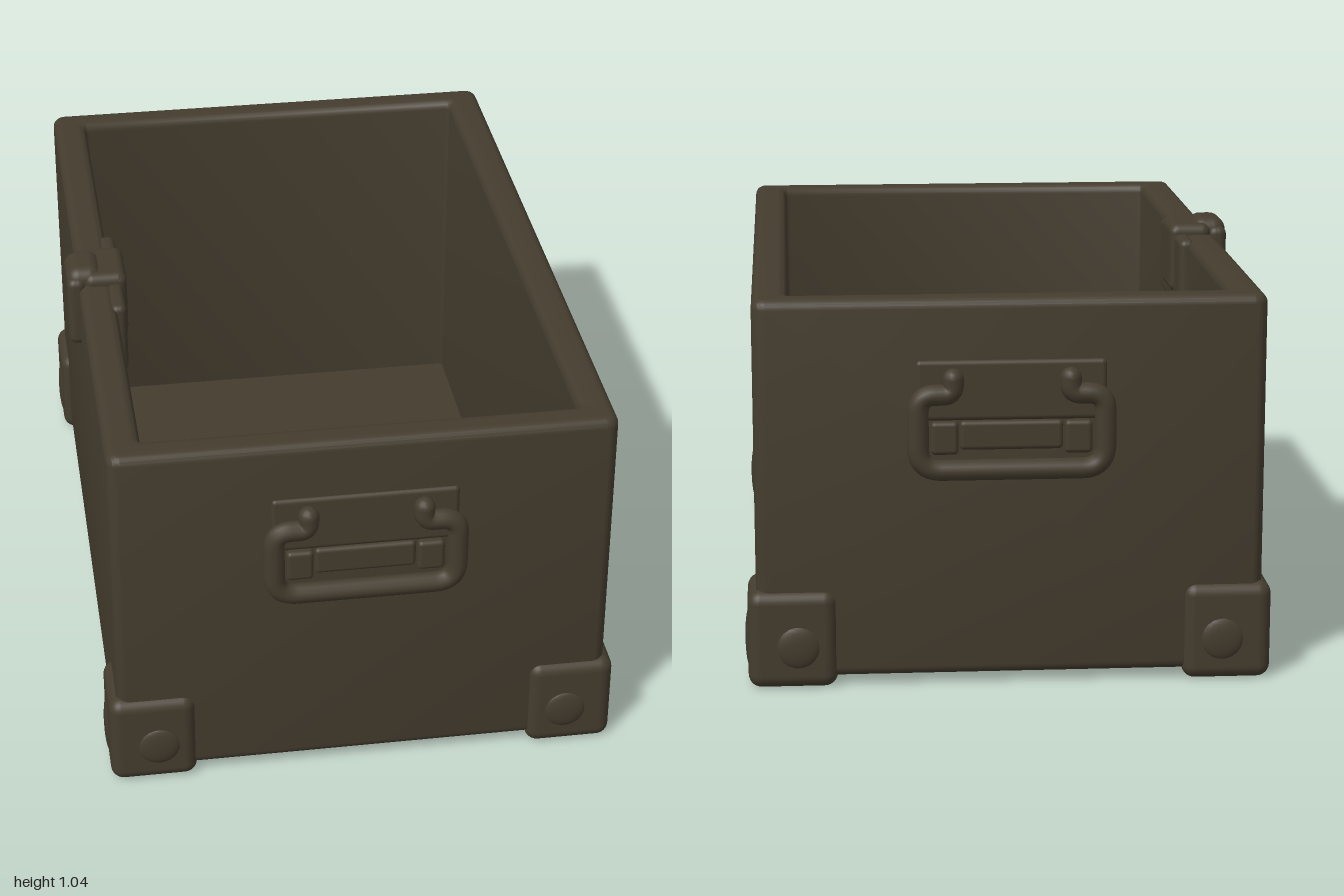
import * as THREE from 'three';
import { toCreasedNormals } from 'three/addons/utils/BufferGeometryUtils.js';
import { RoundedBoxGeometry } from 'three/addons/geometries/RoundedBoxGeometry.js';

const olive = new THREE.MeshStandardMaterial({ color: 0x443c2e });
olive.name = 'olive';

function add(parent, name, geometry) {
  const mesh = new THREE.Mesh(geometry, olive);
  mesh.name = name;
  parent.add(mesh);
  return mesh;
}

// Rounded block given by its minimum and maximum corners
function block(parent, name, a, b, radius) {
  const size = a.map((v, i) => b[i] - v);
  const mesh = add(parent, name, new RoundedBoxGeometry(...size, 4, radius));
  mesh.position.set(...a.map((v, i) => (v + b[i]) / 2));
  return mesh;
}

function roundedRect(path, w, d, r) {
  path.absarc(w - r, d - r, r, 0, Math.PI / 2);
  path.absarc(-w + r, d - r, r, Math.PI / 2, Math.PI);
  path.absarc(-w + r, -d + r, r, Math.PI, Math.PI * 1.5);
  path.absarc(w - r, -d + r, r, Math.PI * 1.5, Math.PI * 2);
  path.closePath();
  return path;
}

// Open box: four walls with a rounded rim, and a thin floor
function createBody() {
  const body = new THREE.Group();
  body.name = 'body';
  const bevel = 0.025;
  const shape = roundedRect(new THREE.Shape(), 0.645, 0.955, 0.035);
  shape.holes.push(roundedRect(new THREE.Path(), 0.552, 0.868, 0.012));
  const walls = new THREE.ExtrudeGeometry(shape, {
    depth: 0.975 - 2 * bevel, bevelThickness: bevel, bevelSize: bevel,
    bevelOffset: -bevel, bevelSegments: 5, curveSegments: 6,
  });
  walls.rotateX(-Math.PI / 2).translate(0, 0.025 + bevel, 0);
  add(body, 'walls', toCreasedNormals(walls, 0.6));
  const floor = add(body, 'floor', new THREE.BoxGeometry(1.2, 0.044, 1.83));
  floor.position.y = 0.048;
  return body;
}

// Corner guard: two side plates, a foot plate and a domed rivet on each side
function createCornerGuard(sx, sz) {
  const guard = new THREE.Group();
  guard.name = 'cornerGuard';
  const plate = (name, a, b) => {
    const mesh = block(guard, name, a, b, 0.034);
    mesh.position.x *= sx;
    mesh.position.z *= sz;
  };
  plate('endPlate', [0.44, 0, 0.895], [0.667, 0.255, 0.972]);
  plate('sidePlate', [0.592, 0, 0.755], [0.667, 0.255, 0.972]);
  plate('footPlate', [0.44, 0, 0.755], [0.667, 0.069, 0.972]);
  const endRivet = add(guard, 'endRivet', new THREE.SphereGeometry(1, 20, 12));
  endRivet.scale.set(0.055, 0.055, 0.014);
  endRivet.position.set(0.54 * sx, 0.11, 0.969 * sz);
  const sideRivet = add(guard, 'sideRivet', new THREE.SphereGeometry(1, 20, 12));
  sideRivet.scale.set(0.012, 0.08, 0.06);
  sideRivet.position.set(0.663 * sx, 0.105, 0.85 * sz);
  return guard;
}

// Carrying handle: bent bar with turned-in ends, over a mounting plate
function createHandle() {
  const handle = new THREE.Group();
  handle.name = 'handle';
  const z = 0.973;
  const P = (x, y) => new THREE.Vector3(x, y, z);
  const corners = [P(-0.147, 0.8), P(-0.147, 0.76), P(-0.235, 0.76), P(-0.235, 0.567),
    P(0.235, 0.567), P(0.235, 0.76), P(0.147, 0.76), P(0.147, 0.8)];
  const radii = [0, 0.025, 0.045, 0.06, 0.06, 0.045, 0.025, 0];
  const path = new THREE.CurvePath();
  let last = corners[0];
  for (let i = 1; i < corners.length; i++) {
    const c = corners[i], r = radii[i];
    const enter = c.clone().add(corners[i - 1].clone().sub(c).setLength(r));
    path.add(new THREE.LineCurve3(last, r ? enter : c));
    if (r) {
      last = c.clone().add(corners[i + 1].clone().sub(c).setLength(r));
      path.add(new THREE.QuadraticBezierCurve3(enter, c, last));
    }
  }
  add(handle, 'bar', new THREE.TubeGeometry(path, 140, 0.027, 12));
  for (const s of [-1, 1]) {
    const end = add(handle, 'barEnd', new THREE.SphereGeometry(0.027, 14, 10));
    end.position.set(0.147 * s, 0.8, z);
    block(handle, 'tab', [0.168 * s - 0.035, 0.605, 0.945], [0.168 * s + 0.035, 0.69, 0.975], 0.012);
  }
  block(handle, 'mountingPlate', [-0.24, 0.69, 0.935], [0.24, 0.845, 0.963], 0.013);
  block(handle, 'crossPlate', [-0.13, 0.615, 0.94], [0.13, 0.69, 0.967], 0.012);
  return handle;
}

// Catch hooked over the rim of the right wall
function createLatch() {
  const latch = new THREE.Group();
  latch.name = 'latch';
  block(latch, 'outerHook', [-0.677, 0.82, -0.06], [-0.625, 1.02, 0.1], 0.022);
  block(latch, 'hookTop', [-0.677, 0.955, -0.05], [-0.58, 1.043, 0.09], 0.036);
  block(latch, 'bridge', [-0.63, 0.96, -0.075], [-0.515, 1.03, 0.1], 0.025);
  block(latch, 'innerTongue', [-0.56, 0.84, -0.075], [-0.515, 1.025, 0.1], 0.02);
  block(latch, 'innerPlate', [-0.57, 0.8, -0.18], [-0.527, 1.003, 0.225], 0.018);
  return latch;
}

export function createModel() {
  const model = new THREE.Group();
  model.name = 'crate';
  model.add(createBody(), createLatch());
  for (const sx of [-1, 1]) for (const sz of [-1, 1]) model.add(createCornerGuard(sx, sz));
  const front = createHandle(), back = createHandle();
  back.rotation.y = Math.PI;
  model.add(front, back);
  return model;
}
